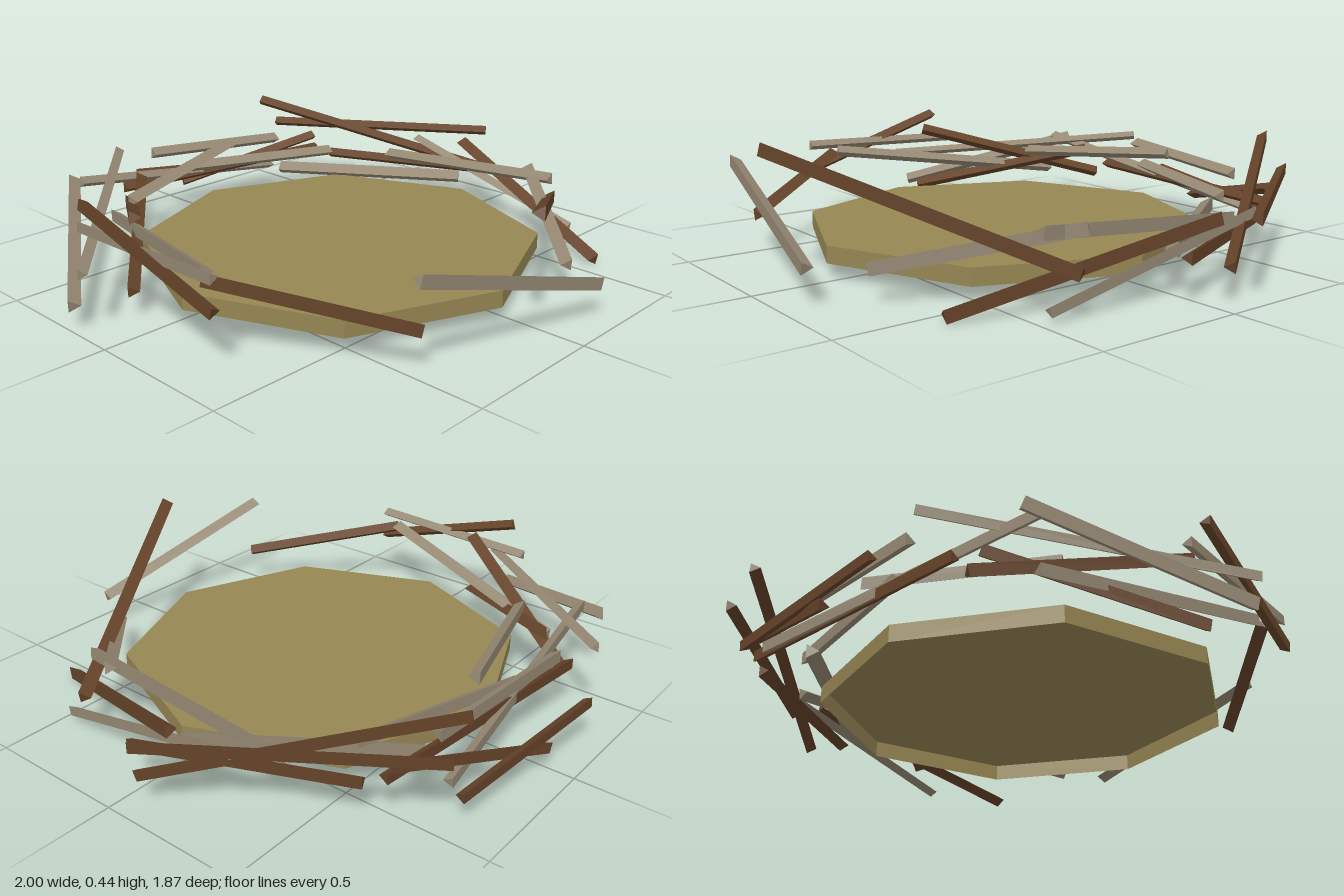
import * as THREE from 'three';

export function createModel() {
  const model = new THREE.Group();
  const make = (name, color) => {
    const m = new THREE.MeshStandardMaterial({ color, flatShading: true });
    m.name = name;
    return m;
  };
  const straw = make('straw', 0x968653);
  const bark = make('brownBark', 0x654329);
  const dry = make('greyWood', 0x958873);
  straw.side = THREE.DoubleSide;

  // Eight-sided nest floor: a rim wall under a top sheet, open below
  const floor = new THREE.Group();
  floor.name = 'nestFloor';
  floor.position.set(-0.035, 0.087, 0.03);
  const rim = new THREE.Mesh(new THREE.CylinderGeometry(0.698, 0.698, 0.058, 8, 1, true), straw);
  rim.name = 'floorRim';
  const sheet = new THREE.Mesh(new THREE.CircleGeometry(0.698, 8).rotateX(-Math.PI / 2), straw);
  sheet.name = 'floorTop';
  sheet.position.y = 0.029;
  floor.add(rim, sheet);
  model.add(floor);

  // A three-sided stick from a to b: upright face outward, ridge toward the nest centre
  const up = new THREE.Vector3(0, 1, 0);
  function stick(group, material, [ax, ay, az, bx, by, bz, size = 0.043], i) {
    const a = new THREE.Vector3(ax, ay, az);
    const b = new THREE.Vector3(bx, by, bz);
    const dir = b.clone().sub(a);
    const length = dir.length();
    dir.normalize();
    const middle = a.add(b).multiplyScalar(0.5);
    const inward = new THREE.Vector3().crossVectors(up, dir).normalize();
    if (inward.dot(middle) > 0) inward.negate();
    const across = new THREE.Vector3().crossVectors(dir, inward);
    const r = size / Math.sqrt(3);
    const geometry = new THREE.CylinderGeometry(r, r, length, 3).translate(0, 0, -r / 4);
    const mesh = new THREE.Mesh(geometry, material);
    mesh.quaternion.setFromRotationMatrix(new THREE.Matrix4().makeBasis(across, dir, inward));
    mesh.position.copy(middle);
    mesh.name = `${group.name}${i + 1}`;
    group.add(mesh);
  }

  // Stick ends: start x, y, z, end x, y, z, optional face width
  const brownSticks = [
    [-0.205, 0.165, -0.925, 0.41, 0.1, -0.84, 0.036],
    [0, 0.09, -0.9, 0.55, 0.22, -0.69, 0.039],
    [-0.37, 0.18, -0.77, 0.55, 0.17, -0.67, 0.039],
    [-0.38, 0.145, -0.73, -0.78, 0.335, -0.12],
    [-0.37, 0.25, -0.66, -0.81, 0.1, -0.11],
    [-0.885, 0.38, -0.24, -0.865, 0.2, 0.355, 0.04],
    [-0.83, 0.265, 0.26, -0.457, 0.145, 0.76],
    [-0.12, 0.43, 0.89, 0.77, 0.14, 0.365, 0.045],
    [0.56, 0.03, 0.69, 0.835, 0.245, -0.115],
    [0.48, 0.265, -0.855, 0.985, 0.265, -0.1, 0.038],
    [0.39, 0.375, -0.85, 0.93, 0.12, -0.055, 0.04],
    [0.575, 0.15, -0.62, 0.86, 0.15, 0.05, 0.04],
  ];
  const greySticks = [
    [-0.22, 0.28, -0.79, 0.36, 0.24, -0.72],
    [-0.61, 0.28, -0.68, 0.38, 0.11, -0.78, 0.037],
    [-0.11, 0.215, -0.72, 0.48, 0.2, -0.52],
    [-0.54, 0.24, -0.48, 0.08, 0.285, -0.67],
    [-0.59, 0.27, -0.76, -0.985, 0.09, -0.17, 0.045],
    [-0.31, 0.295, -0.88, -0.985, 0.21, -0.11, 0.034],
    [-0.53, 0.16, -0.6, -0.81, 0.275, 0.26],
    [-0.855, 0.28, -0.31, -0.86, 0.3, 0.35, 0.036],
    [-0.54, 0.33, 0.8, 0.205, 0.125, 0.915],
    [0.275, 0.115, 0.755, 0.71, 0.25, 0.295],
    [0.745, 0.045, 0.47, 0.79, 0.23, -0.32, 0.034],
    [0.66, 0.245, 0.43, 0.66, 0.18, -0.365],
    [0.31, 0.135, -0.65, 0.72, 0.135, -0.035, 0.05],
  ];
  for (const [name, material, list] of [['brownStick', bark, brownSticks], ['greyStick', dry, greySticks]]) {
    const group = new THREE.Group();
    group.name = name;
    list.forEach((ends, i) => stick(group, material, ends, i));
    model.add(group);
  }
  return model;
}
